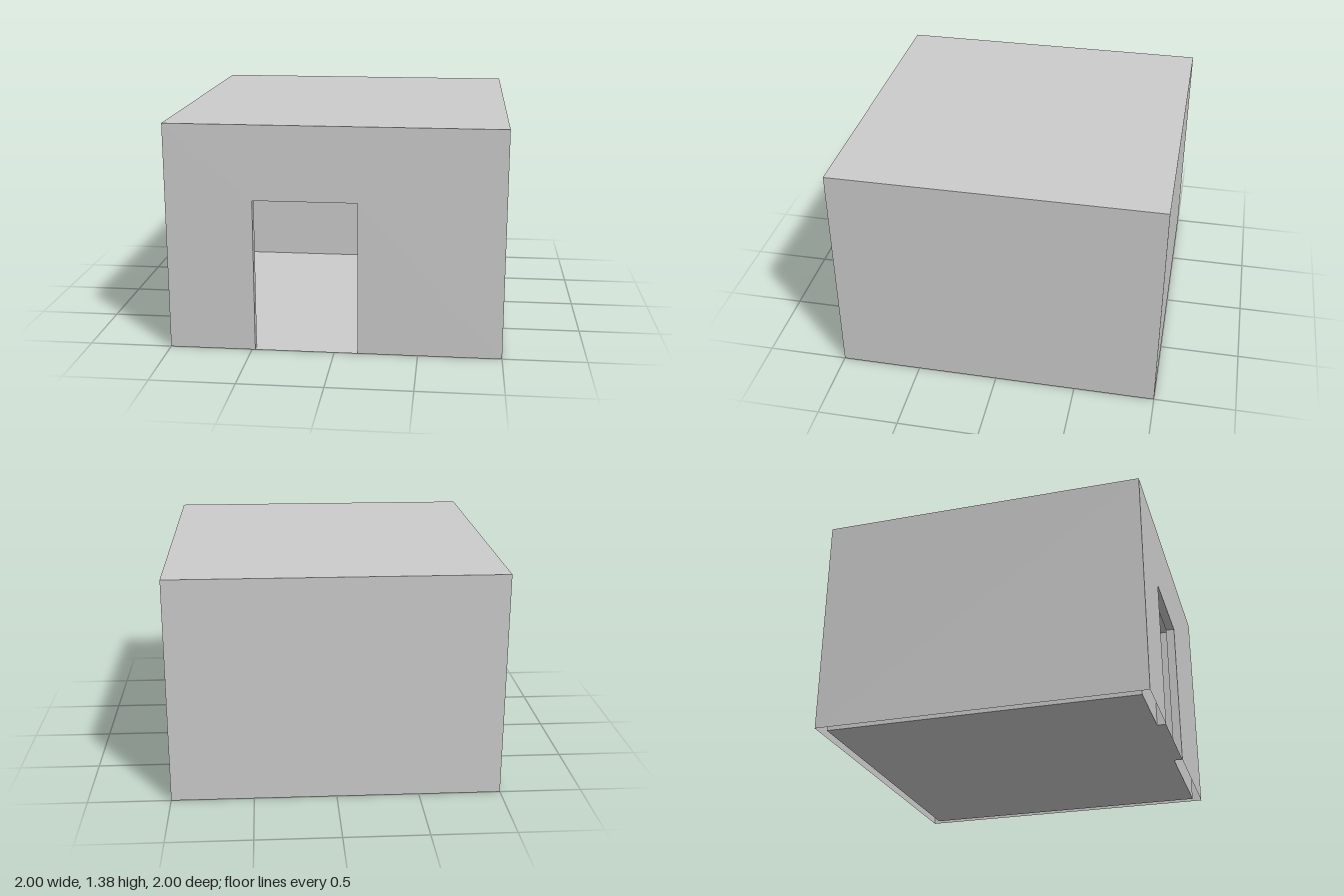
import * as THREE from 'three';

const HEIGHT = 1.38, HALF = 1, WALL = 0.053;
const DOOR = { left: -0.48, right: 0.14, top: 0.93 };

const material = new THREE.MeshStandardMaterial({ color: 0xcccccc, side: THREE.DoubleSide });

function addMesh(group, name, geometry, position, rotation = [0, 0, 0]) {
  const mesh = new THREE.Mesh(geometry, material);
  mesh.name = name;
  mesh.position.set(...position);
  mesh.rotation.set(...rotation);
  group.add(mesh);
}

const panel = (w, h) => new THREE.PlaneGeometry(w, h);

// Front wall outline that steps around the doorway
function doorWall(half, height) {
  return new THREE.ShapeGeometry(new THREE.Shape([
    [-half, 0], [DOOR.left, 0], [DOOR.left, DOOR.top], [DOOR.right, DOOR.top],
    [DOOR.right, 0], [half, 0], [half, height], [-half, height],
  ].map(([x, y]) => new THREE.Vector2(x, y))));
}

// Four walls and a top, open underneath
function makeShell(name, topName, half, height) {
  const shell = new THREE.Group();
  shell.name = name;
  addMesh(shell, 'frontWall', doorWall(half, height), [0, 0, half]);
  addMesh(shell, 'backWall', panel(2 * half, height), [0, height / 2, -half], [0, Math.PI, 0]);
  for (const [side, s] of [['left', 1], ['right', -1]]) {
    addMesh(shell, side + 'Wall', panel(2 * half, height), [s * half, height / 2, 0], [0, s * Math.PI / 2, 0]);
  }
  addMesh(shell, topName, panel(2 * half, 2 * half), [0, height, 0], [-Math.PI / 2, 0, 0]);
  return shell;
}

export function createModel() {
  const model = new THREE.Group();
  model.name = 'room';
  const inner = HALF - WALL;

  // Outer and inner faces of the hollow walls
  model.add(makeShell('outerShell', 'roof', HALF, HEIGHT));
  model.add(makeShell('innerShell', 'ceiling', inner, HEIGHT - WALL));
  addMesh(model, 'floor', panel(2 * inner, 2 * inner), [0, 0, 0], [-Math.PI / 2, 0, 0]);

  // Doorway lining through the front wall
  const width = DOOR.right - DOOR.left, midX = (DOOR.left + DOOR.right) / 2, midZ = HALF - WALL / 2;
  const doorway = new THREE.Group();
  doorway.name = 'doorway';
  addMesh(doorway, 'rightJamb', panel(WALL, DOOR.top), [DOOR.left, DOOR.top / 2, midZ], [0, Math.PI / 2, 0]);
  addMesh(doorway, 'leftJamb', panel(WALL, DOOR.top), [DOOR.right, DOOR.top / 2, midZ], [0, -Math.PI / 2, 0]);
  addMesh(doorway, 'lintel', panel(width, WALL), [midX, DOOR.top, midZ], [Math.PI / 2, 0, 0]);
  addMesh(doorway, 'threshold', panel(width, WALL), [midX, 0, midZ], [-Math.PI / 2, 0, 0]);
  model.add(doorway);

  return model;
}
